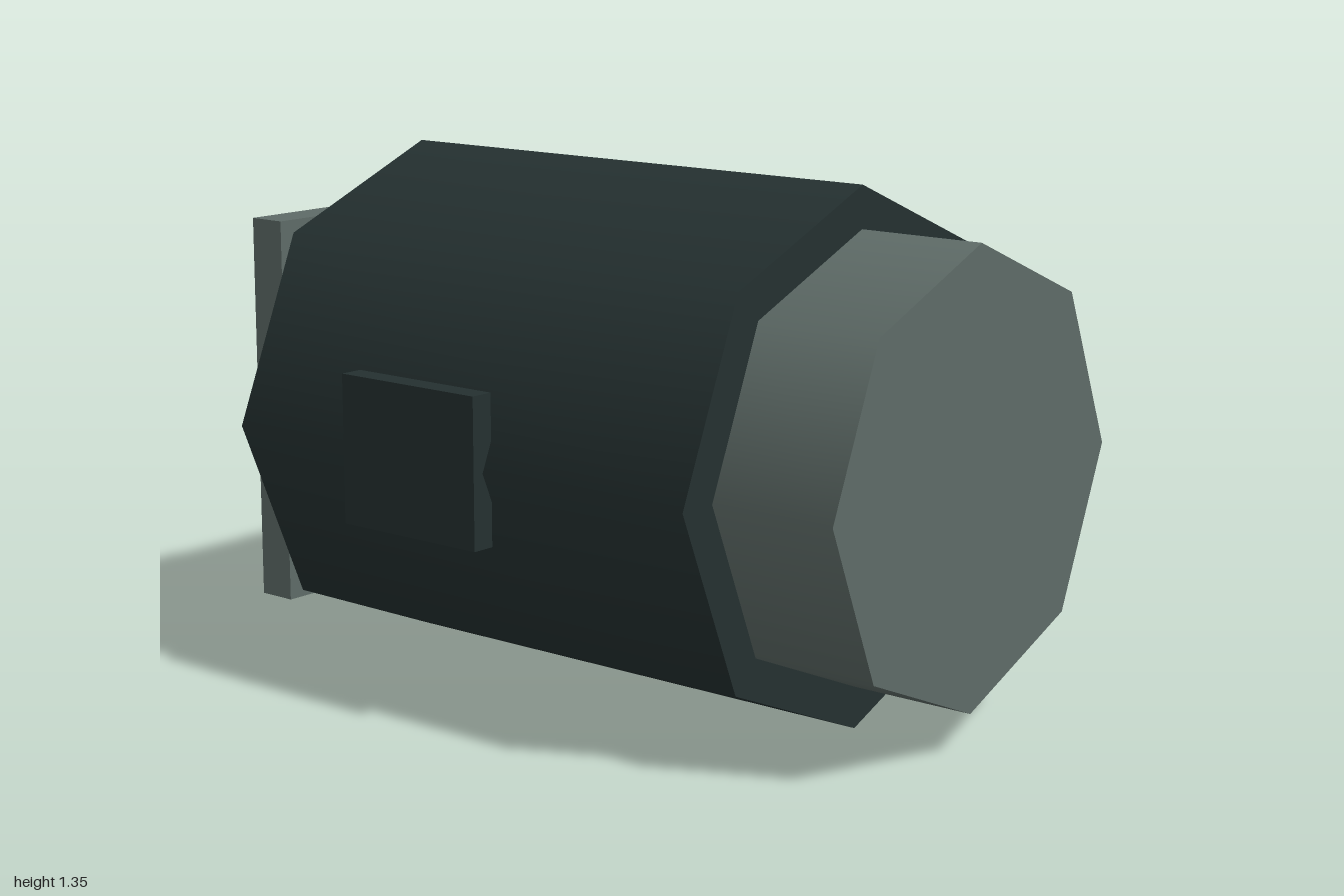
import * as THREE from 'three';

export function createModel() {
  const model = new THREE.Group();
  model.name = 'canister';

  const dark = new THREE.MeshStandardMaterial({ color: 0x243030 });
  dark.name = 'dark slate';
  const grey = new THREE.MeshStandardMaterial({ color: 0x5e6b67 });
  grey.name = 'grey green';

  const axisY = 0.678;

  // Smooth-shaded octagonal drum lying along z
  function drum(name, radius, zBack, zFront, material) {
    const geometry = new THREE.CylinderGeometry(radius, radius, zFront - zBack, 8);
    geometry.rotateX(Math.PI / 2);
    const mesh = new THREE.Mesh(geometry, material);
    mesh.name = name;
    mesh.position.set(0, axisY, (zBack + zFront) / 2);
    model.add(mesh);
  }

  // Rectangular plate
  function plate(name, size, position, material) {
    const mesh = new THREE.Mesh(new THREE.BoxGeometry(...size), material);
    mesh.name = name;
    mesh.position.set(...position);
    model.add(mesh);
  }

  // Main body and narrower front cap
  drum('body', 0.677, -0.8, 0.66, dark);
  drum('frontCap', 0.57, 0.65, 1.0, grey);

  // Stacked plates floating behind the body
  plate('backPlate', [1.012, 1.012, 0.104], [0, 0.681, -0.871], grey);
  plate('backPanel', [0.42, 0.42, 0.042], [0, 0.681, -0.979], dark);

  // Side pads
  for (const [name, side] of [['leftPad', 1], ['rightPad', -1]]) {
    plate(name, [0.062, 0.38, 0.44], [side * 0.677, 0.681, -0.175], dark);
  }

  return model;
}
